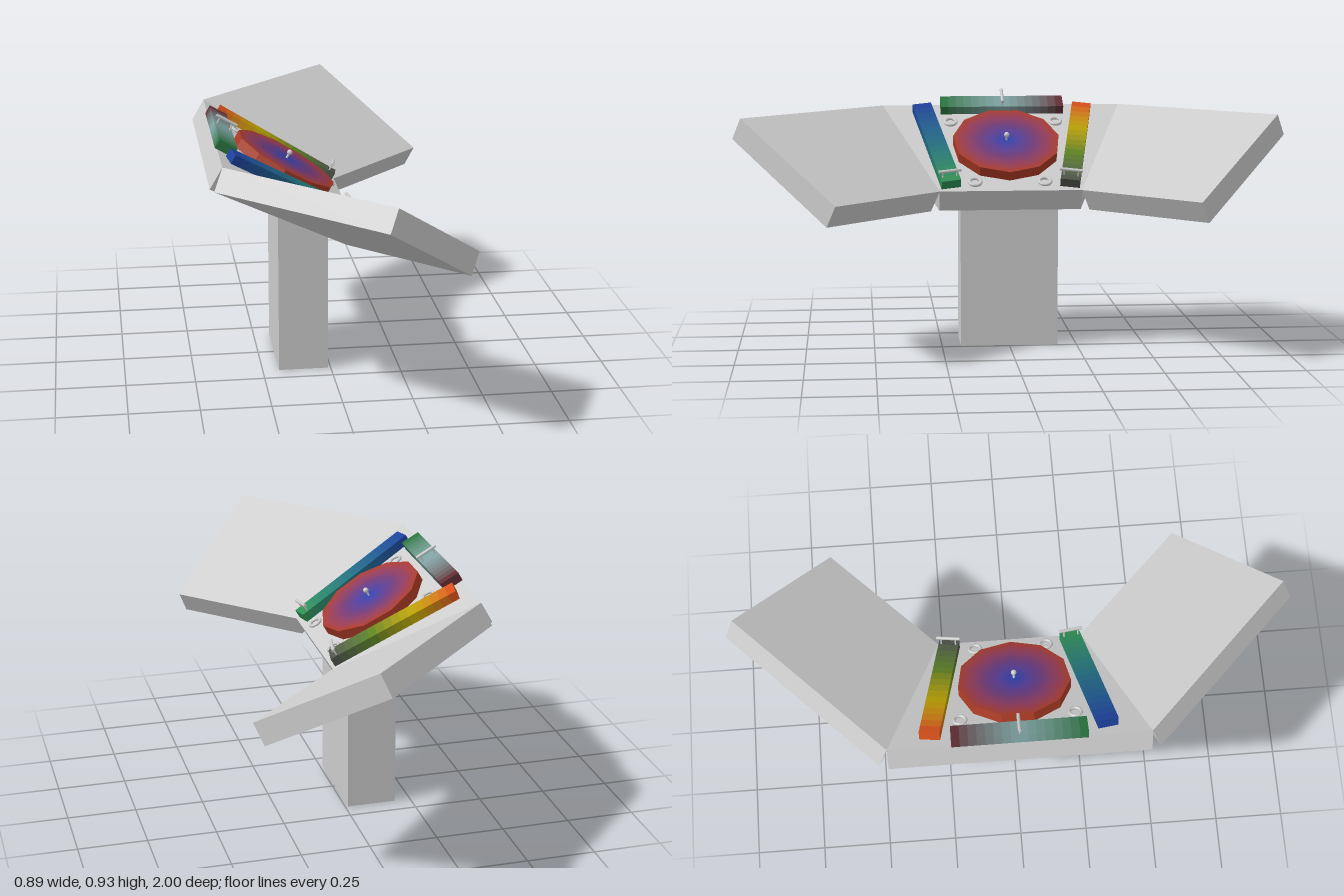
import * as THREE from 'three';

const TILT = Math.PI / 6, SLAB = 0.088, SLOPE = 0.548;
const grey = new THREE.MeshStandardMaterial({ color: 0xcccccc, flatShading: true });
const smoothGrey = new THREE.MeshStandardMaterial({ color: 0xcccccc });

function add(parent, name, geometry, material = grey, x = 0, y = 0, z = 0) {
  const mesh = new THREE.Mesh(geometry, material);
  mesh.name = name;
  mesh.position.set(x, y, z);
  parent.add(mesh);
  return mesh;
}

// Blend through a list of colours, t from 0 to 1
function blend(colors, t) {
  const f = Math.min(t, 0.9999) * (colors.length - 1), i = Math.floor(f);
  const color = new THREE.Color(colors[i]).lerp(new THREE.Color(colors[i + 1]), f - i);
  return new THREE.MeshStandardMaterial({ color, flatShading: true });
}

// Slab from [x, z] corners, its upper face at y = 0
function slab(corners) {
  const shape = new THREE.Shape(corners.map(([x, z]) => new THREE.Vector2(x, -z)));
  const g = new THREE.ExtrudeGeometry(shape, { depth: SLAB, bevelEnabled: false });
  return g.rotateX(-Math.PI / 2).translate(0, -SLAB, 0);
}

// Frame whose x axis runs down the desk slope, turned by a heading
function slopeFrame(name, x, y, z, heading) {
  const g = new THREE.Group();
  g.name = name;
  g.position.set(x, y, z);
  g.rotation.set(0, heading, -TILT, 'YZX');
  return g;
}

// Coloured strip along local z with a grab handle across it
function controlStrip(name, colors, length, x, z, heading, handleZ) {
  const g = new THREE.Group(), n = 16, w = 0.072, h = 0.034;
  g.name = name;
  g.position.set(x, 0, z);
  g.rotation.y = heading;
  for (let i = 0; i < n; i++) {
    add(g, 'stripSegment', new THREE.BoxGeometry(w, h, length / n), blend(colors, (i + 0.5) / n),
      0, h / 2, ((i + 0.5) / n - 0.5) * length);
  }
  const grip = new THREE.CylinderGeometry(0.006, 0.006, 0.084, 8).rotateZ(Math.PI / 2);
  add(g, 'handleGrip', grip, smoothGrey, 0, 0.06, handleZ);
  for (const s of [-1, 1]) {
    add(g, 'handleLeg', new THREE.CylinderGeometry(0.003, 0.003, 0.028, 6), smoothGrey,
      s * 0.026, 0.046, handleZ);
  }
  return g;
}

export function createModel() {
  const model = new THREE.Group();
  model.name = 'controlConsole';

  // Pedestal, cut to the slope of the desk
  const profile = new THREE.Shape([[-0.19, 0], [-0.01, 0], [-0.01, 0.56], [-0.19, 0.664]]
    .map(([x, y]) => new THREE.Vector2(x, y)));
  add(model, 'pedestal', new THREE.ExtrudeGeometry(profile, { depth: 0.36, bevelEnabled: false })
    .translate(0, 0, -0.18));

  // Middle desk panel
  const desk = slopeFrame('desk', -0.405, 0.863, 0, 0);
  add(desk, 'middlePanel', slab([[0, -0.455], [SLOPE, -0.26], [SLOPE, 0.26], [0, 0.455]]));
  model.add(desk);

  // Side wings, mirrored
  for (const s of [1, -1]) {
    const wing = slopeFrame(s > 0 ? 'leftWing' : 'rightWing', -0.405, 0.863, s * 0.455, s * Math.PI / 4);
    add(wing, 'wingPanel', slab([[0, 0], [SLOPE, s * 0.198], [SLOPE, s * 0.727], [0, s * 0.727]]));
    model.add(wing);
  }

  // Round display: body and concentric colour bands
  const sides = 11, radius = 0.2, top = 0.039, bands = 14;
  const display = new THREE.Group();
  display.name = 'roundDisplay';
  display.position.x = 0.286;
  const dialColors = [0x2040b0, 0x6a3a78, 0xa83a24];
  add(display, 'displayBody', new THREE.CylinderGeometry(radius, radius, top, sides).rotateY(Math.PI / 2),
    blend(dialColors, 1), 0, top / 2 - 0.001);
  for (let i = 0; i < bands; i++) {
    const ring = new THREE.RingGeometry(radius * i / bands, radius * (i + 1) / bands, sides);
    add(display, 'displayBand', ring.rotateX(-Math.PI / 2), blend(dialColors, (i + 0.5) / bands), 0, top);
  }
  add(display, 'knobStem', new THREE.CylinderGeometry(0.004, 0.004, 0.02, 8), smoothGrey, 0, top + 0.01);
  add(display, 'knob', new THREE.SphereGeometry(0.01, 12, 8), smoothGrey, 0, top + 0.024);
  desk.add(display);

  // Coloured control strips around the display
  desk.add(controlStrip('backStrip', [0x5e1020, 0x80a4a4, 0x1a7030], 0.47, 0.026, 0, 0, 0));
  desk.add(controlStrip('leftStrip', [0x1c3c9c, 0x206a80, 0x2f9050], 0.5, 0.283, 0.262,
    Math.atan2(0.49, -0.09), 0.225));
  desk.add(controlStrip('rightStrip', [0xd8401c, 0xb8a000, 0x5a8020, 0x4c4c4c], 0.5, 0.283, -0.262,
    Math.atan2(0.49, 0.09), 0.225));

  // Small ring dials at the corners of the display
  for (const [x, z] of [[0.12, 0.2], [0.5, 0.128]]) {
    for (const s of [1, -1]) {
      add(desk, 'ringDial', new THREE.TorusGeometry(0.021, 0.006, 8, 20).rotateX(Math.PI / 2),
        smoothGrey, x, 0.006, s * z);
    }
  }
  return model;
}
